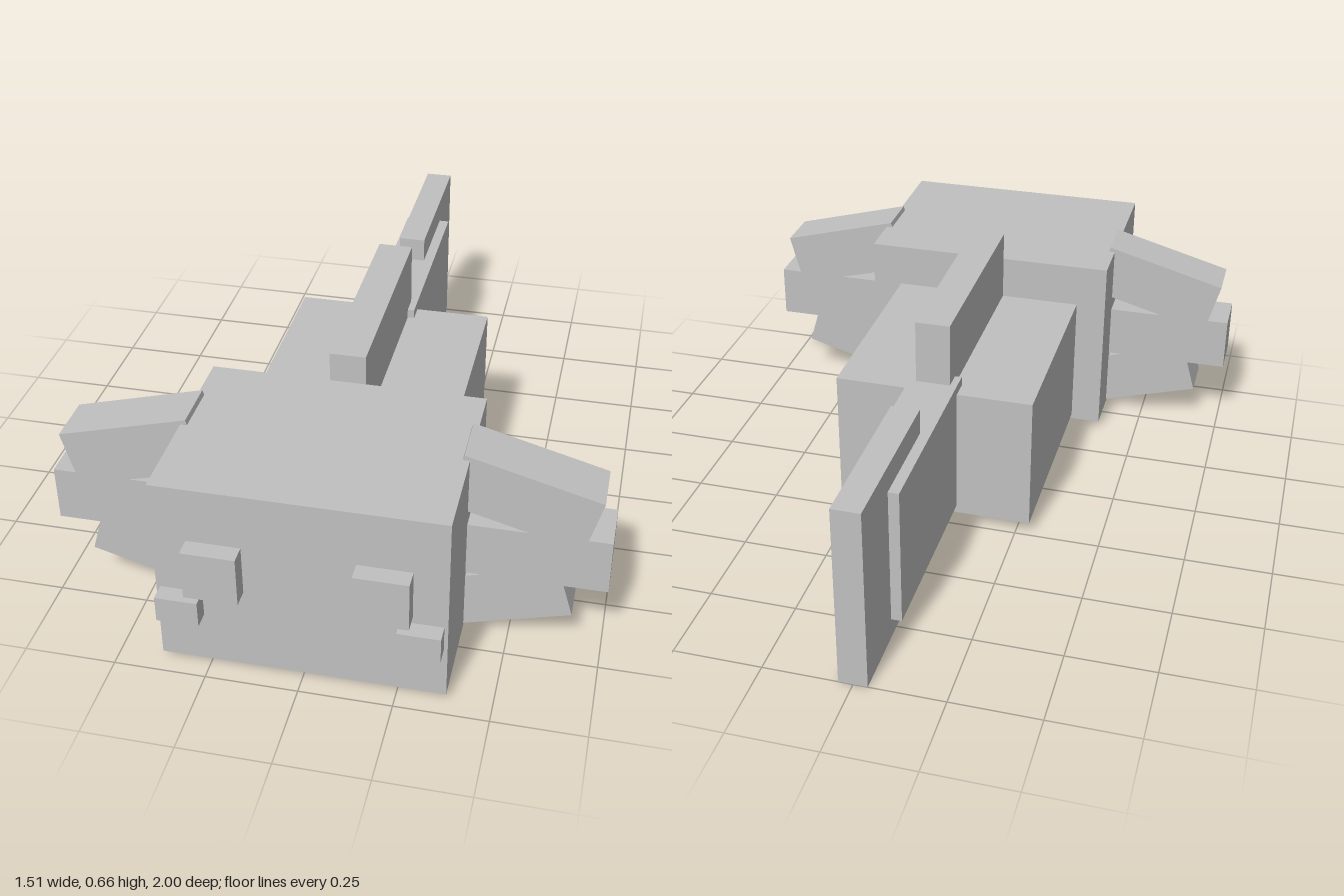
import * as THREE from 'three';

export function createModel() {
  const model = new THREE.Group();
  model.name = 'waterCreature';
  const grey = new THREE.MeshStandardMaterial({ color: 0xc0c0c0 });
  grey.name = 'plainGrey';

  // Box from its lower and upper corners
  const box = (name, [x0, y0, z0], [x1, y1, z1]) => {
    const mesh = new THREE.Mesh(new THREE.BoxGeometry(x1 - x0, y1 - y0, z1 - z0), grey);
    mesh.name = name;
    mesh.position.set((x0 + x1) / 2, (y0 + y1) / 2, (z0 + z1) / 2);
    model.add(mesh);
    return mesh;
  };

  // Head, trunk and tail
  box('head', [-0.38, 0.02, 0.4], [0.38, 0.57, 0.95]);
  box('body', [-0.29, 0.035, -0.24], [0.29, 0.44, 0.4]);
  box('backFin', [-0.05, 0.44, -0.24], [0.05, 0.655, 0.4]);
  box('tail', [-0.07, 0.06, -0.795], [0.07, 0.467, -0.185]);
  box('tailFin', [-0.04, 0, -1], [0.04, 0.54, -0.505]);

  // Fanned gill: centre, length, height and tilt, on the given side
  const gill = (name, side, x, y, length, height, degrees) => {
    const mesh = new THREE.Mesh(new THREE.BoxGeometry(length, height, 0.145), grey);
    mesh.name = name;
    mesh.position.set(side * x, y, 0.613);
    mesh.rotation.z = side * THREE.MathUtils.degToRad(degrees);
    model.add(mesh);
  };

  for (const side of [1, -1]) {
    const prefix = side > 0 ? 'left' : 'right';
    const mirrored = (name, a, b) => {
      const xs = [side * a[0], side * b[0]].sort((p, q) => p - q);
      box(prefix + name, [xs[0], a[1], a[2]], [xs[1], b[1], b[2]]);
    };
    // Face details
    mirrored('Eye', [0.147, 0.267, 0.95], [0.29, 0.41, 1]);
    mirrored('Cheek', [0.257, 0.172, 0.95], [0.37, 0.247, 0.997]);
    // Three gills
    gill(prefix + 'UpperGill', side, 0.524, 0.456, 0.373, 0.165, -15.2);
    gill(prefix + 'MiddleGill', side, 0.567, 0.286, 0.377, 0.16, 0);
    gill(prefix + 'LowerGill', side, 0.491, 0.143, 0.32, 0.16, 16);
  }
  return model;
}
